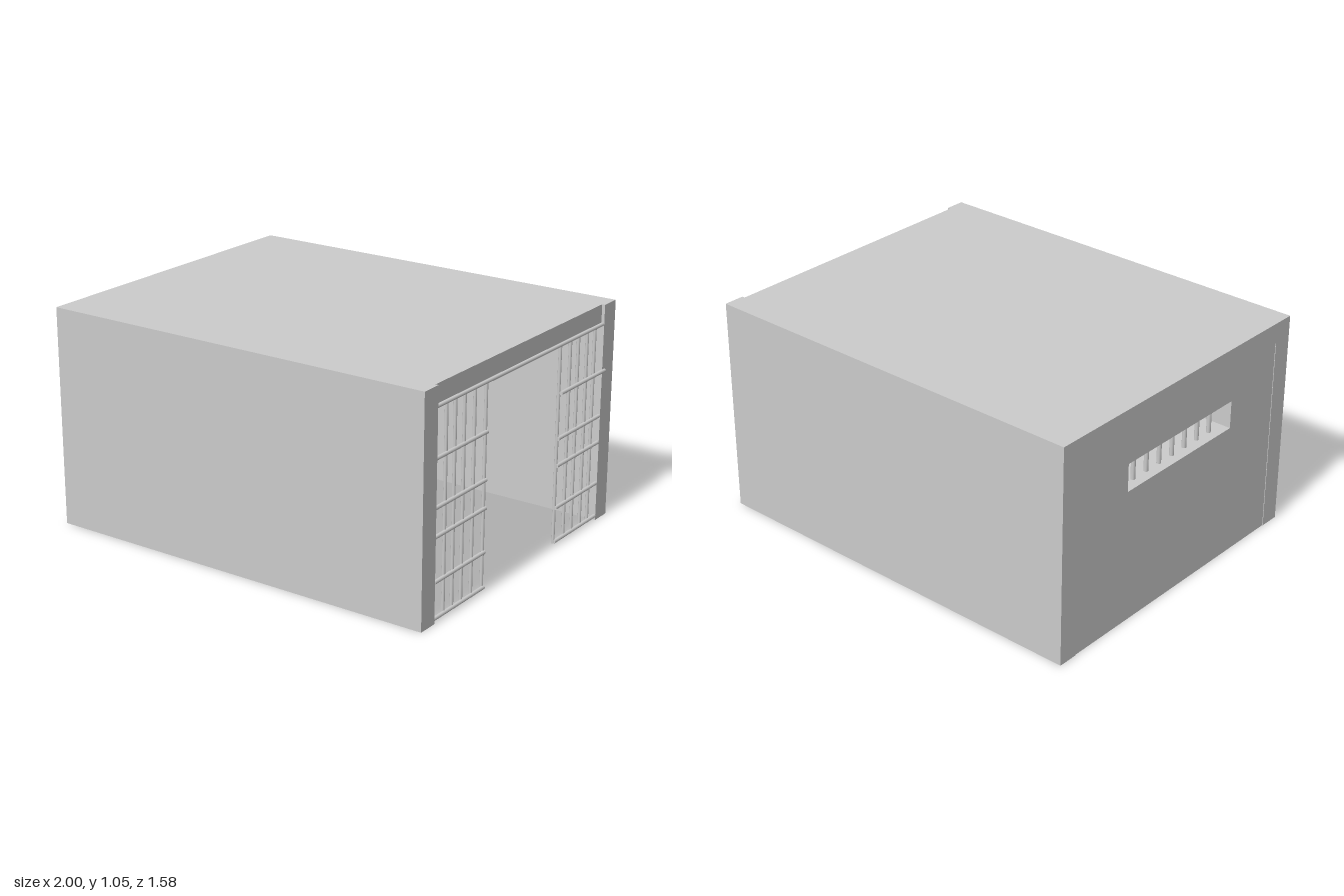
import * as THREE from 'three';

const mat = new THREE.MeshStandardMaterial({ color: 0xcccccc });
const H = 1.055, CEIL = 0.955, BACK = -1, FRONT = 0.99, INNER = 0.69, OUTER = 0.79;

function add(parent, name, geo) {
  const m = new THREE.Mesh(geo, mat);
  m.name = name;
  parent.add(m);
  return m;
}

// Box given by its minimum and maximum corners
function box(parent, name, [x0, y0, z0], [x1, y1, z1]) {
  const g = new THREE.BoxGeometry(x1 - x0, y1 - y0, z1 - z0);
  g.translate((x0 + x1) / 2, (y0 + y1) / 2, (z0 + z1) / 2);
  return add(parent, name, g);
}

// Upright round bar
function post(parent, name, x, z, y0, y1, r) {
  const g = new THREE.CylinderGeometry(r, r, y1 - y0, 10);
  g.translate(x, (y0 + y1) / 2, z);
  return add(parent, name, g);
}

// Horizontal round rail along z
function rail(parent, name, x, y, z0, z1, r) {
  const g = new THREE.CylinderGeometry(r, r, Math.abs(z1 - z0), 10);
  g.rotateX(Math.PI / 2);
  g.translate(x, y, (z0 + z1) / 2);
  return add(parent, name, g);
}

export function createModel() {
  const cell = new THREE.Group();
  cell.name = 'cell';

  // Side walls
  box(cell, 'frontSideWall', [BACK, 0, INNER], [FRONT, H, OUTER]);
  box(cell, 'rearSideWall', [BACK, 0, -OUTER], [FRONT, H, -INNER]);

  // Roof slab, set back slightly at the open end, and the lintel over the window wall
  box(cell, 'roof', [-0.8, CEIL, -INNER], [0.975, H, INNER]);
  box(cell, 'windowWallLintel', [BACK, CEIL, -INNER], [-0.8, H, INNER]);

  // Window wall with its opening
  const wall = new THREE.Shape();
  wall.moveTo(-INNER, 0).lineTo(INNER, 0).lineTo(INNER, CEIL).lineTo(-INNER, CEIL).closePath();
  const hole = new THREE.Path();
  hole.moveTo(-0.37, 0.655).lineTo(-0.37, 0.79).lineTo(0.36, 0.79).lineTo(0.36, 0.655).closePath();
  wall.holes.push(hole);
  const wallGeo = new THREE.ExtrudeGeometry(wall, { depth: 0.197, bevelEnabled: false });
  wallGeo.rotateY(Math.PI / 2).translate(BACK + 0.003, 0, 0);
  add(cell, 'windowWall', wallGeo);

  // Window bars
  const windowBars = new THREE.Group();
  windowBars.name = 'windowBars';
  for (let i = 0; i < 7; i++) post(windowBars, 'windowBar', -0.945, 0.28 - i * 0.09, 0.655, 0.79, 0.011);
  cell.add(windowBars);

  // Barred panels either side of the entrance
  const railHeights = [0.02, 0.186, 0.39, 0.52, 0.738];
  const panels = [
    { name: 'frontBarPanel', bars: [0.605, 0.538, 0.467, 0.388, 0.3], from: 0.295, to: INNER },
    { name: 'rearBarPanel', bars: [-0.317, -0.407, -0.48, -0.56, -0.63], from: -0.312, to: -INNER },
  ];
  for (const p of panels) {
    const panel = new THREE.Group();
    panel.name = p.name;
    for (const z of p.bars) post(panel, 'entranceBar', 0.976, z, 0.01, CEIL, 0.008);
    for (const y of railHeights) {
      // The rear lock rail laps over the end of the side wall
      const lap = p.to < 0 && y > 0.7;
      rail(panel, 'entranceRail', lap ? 0.991 : 0.983, y, p.from, lap ? -0.71 : p.to, 0.009);
    }
    cell.add(panel);
  }

  // Rail across the top of the entrance
  rail(cell, 'topRail', 0.981, 0.962, -INNER, INNER, 0.009);

  return cell;
}
